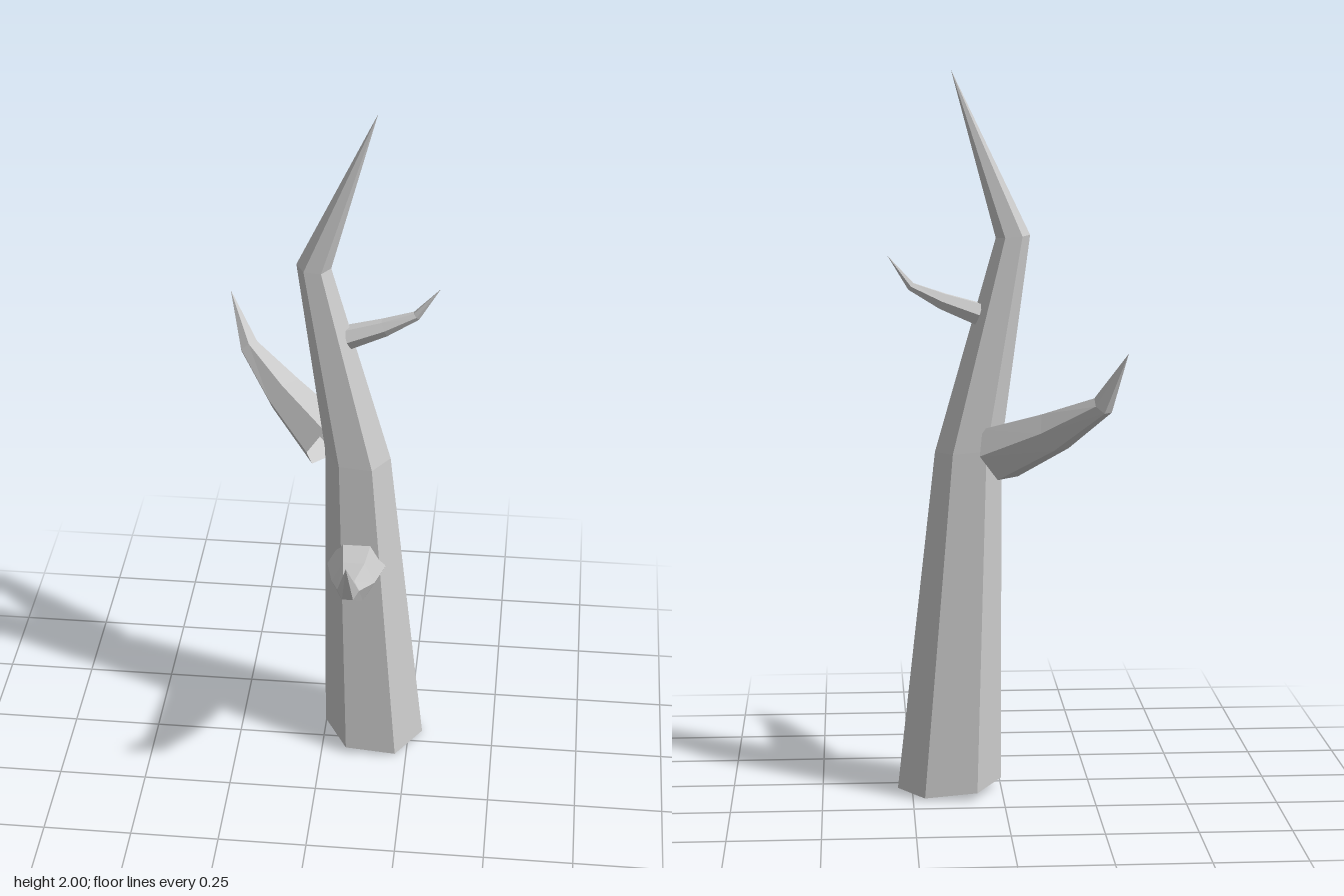
import * as THREE from 'three';

const SIDES = 6;
const material = new THREE.MeshStandardMaterial({
  color: 0xcccccc, flatShading: true, side: THREE.DoubleSide,
});

// Open six-sided limb through rings [x, y, z, radius], tapering to a point.
// "across" points to a corner of each ring; "over" is found from the bend unless given.
function limb(name, rings, tip, across, over) {
  const centres = [...rings.map(([x, y, z]) => new THREE.Vector3(x, y, z)), new THREE.Vector3(...tip)];
  const direction = (i) => centres[i + 1].clone().sub(centres[i]).normalize();

  const loops = rings.map(([, , , radius], i) => {
    const tangent = direction(i);
    if (i > 0) tangent.add(direction(i - 1)).normalize();
    const up = over ?? tangent.clone().cross(across).normalize();
    return Array.from({ length: SIDES }, (_, j) => {
      const a = (j / SIDES) * Math.PI * 2;
      return centres[i].clone()
        .addScaledVector(across, radius * Math.cos(a))
        .addScaledVector(up, radius * Math.sin(a));
    });
  });

  const points = [];
  const end = centres[centres.length - 1];
  loops.forEach((loop, i) => {
    const next = loops[i + 1];
    for (let j = 0; j < SIDES; j++) {
      const k = (j + 1) % SIDES;
      if (next) points.push(loop[j], loop[k], next[k], loop[j], next[k], next[j]);
      else points.push(loop[j], loop[k], end);
    }
  });

  const geometry = new THREE.BufferGeometry().setFromPoints(points);
  geometry.computeVertexNormals();
  const mesh = new THREE.Mesh(geometry, material);
  mesh.name = name;
  return mesh;
}

export function createModel() {
  const tree = new THREE.Group();
  tree.name = 'bareTree';

  // Crooked trunk, open underneath, rings leaning slightly
  tree.add(limb('trunk', [
    [0.145, 0.013, -0.05, 0.145],
    [0.09, 0.965, -0.05, 0.092],
    [-0.033, 1.55, -0.05, 0.047],
  ], [0.135, 2, -0.05], new THREE.Vector3(1, -0.085, 0), new THREE.Vector3(0, 0, -1)));

  // Low branch towards the front
  tree.add(limb('frontBranch', [
    [0.095, 0.642, 0.027, 0.083],
    [0.1, 0.7, 0.193, 0.06],
    [0.1, 0.771, 0.337, 0.03],
  ], [0.1, 0.89, 0.41], new THREE.Vector3(1, 0, 0)));

  // Middle branch towards the back right
  tree.add(limb('backBranch', [
    [0.005, 0.962, -0.108, 0.084],
    [-0.135, 1.04, -0.235, 0.06],
    [-0.252, 1.125, -0.347, 0.03],
  ], [-0.312, 1.27, -0.412], new THREE.Vector3(-1, 0, 1).normalize()));

  // Small upper twig towards the left
  tree.add(limb('upperTwig', [
    [0.06, 1.338, -0.05, 0.034],
    [0.16, 1.374, -0.05, 0.025],
    [0.246, 1.415, -0.05, 0.013],
  ], [0.31, 1.5, -0.05], new THREE.Vector3(0, 0, -1)));

  return tree;
}
